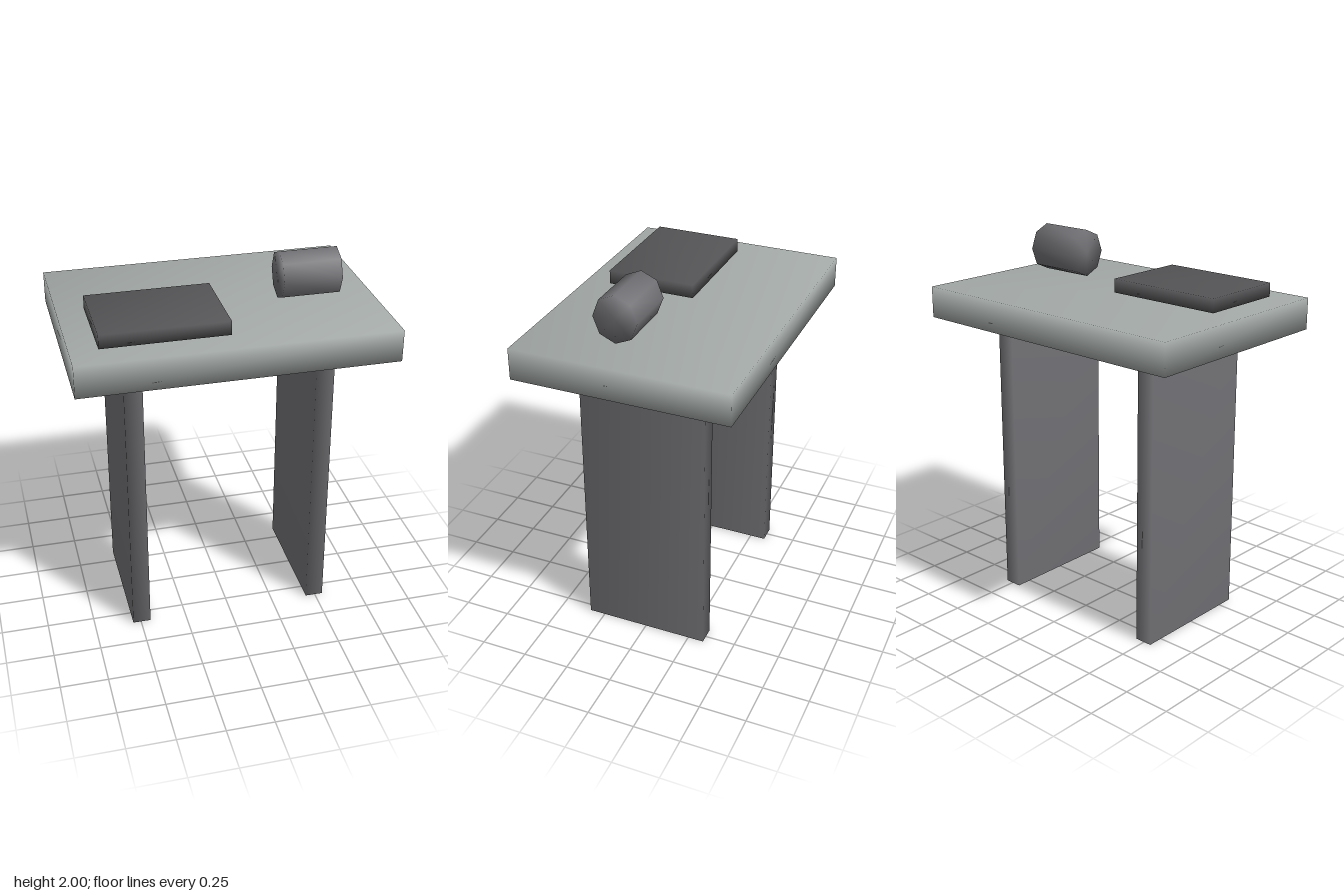
import * as THREE from 'three';
import { mergeVertices } from 'three/addons/utils/BufferGeometryUtils.js';

// Shares corner vertices so the shading blends softly across the edges
function soften(geometry) {
  geometry.deleteAttribute('normal');
  geometry.deleteAttribute('uv');
  const merged = mergeVertices(geometry, 1e-4);
  merged.computeVertexNormals();
  return merged;
}

export function createModel() {
  const model = new THREE.Group();
  model.name = 'table';

  const topMaterial = new THREE.MeshStandardMaterial({ color: 0xa4aaa8 });
  const legMaterial = new THREE.MeshStandardMaterial({ color: 0x707074 });
  const bookMaterial = new THREE.MeshStandardMaterial({ color: 0x545456 });

  function add(name, geometry, material, x, y, z) {
    const mesh = new THREE.Mesh(soften(geometry), material);
    mesh.name = name;
    mesh.position.set(x, y, z);
    model.add(mesh);
  }

  // Slab top
  add('tableTop', new THREE.BoxGeometry(1.613, 0.166, 1.13), topMaterial, 0, 1.644, 0);

  // Two panel legs
  for (const side of [-1, 1]) {
    add(side < 0 ? 'rightLeg' : 'leftLeg',
      new THREE.BoxGeometry(0.096, 1.561, 0.672), legMaterial, side * 0.495, 0.7805, 0);
  }

  // Flat book lying on the top
  add('book', new THREE.BoxGeometry(0.645, 0.072, 0.465), bookMaterial, -0.343, 1.771, 0.194);

  // Eight-sided cup on its side, slightly taller than deep
  const cup = new THREE.CylinderGeometry(1, 1, 0.302, 8);
  cup.rotateZ(Math.PI / 2);
  cup.scale(1, 0.125, 0.116);
  add('cup', cup, legMaterial, 0.454, 1.875, 0.097);

  return model;
}
